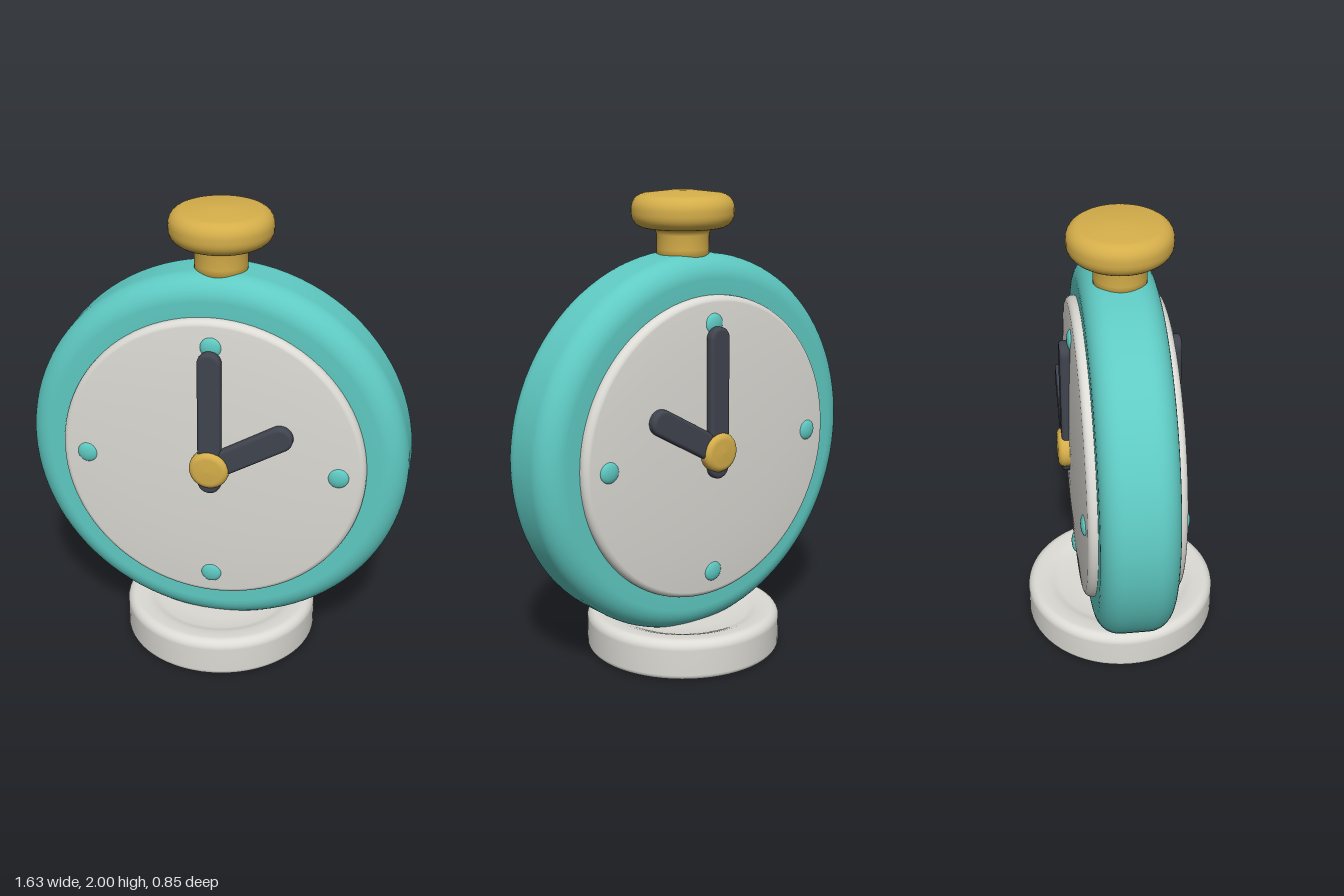
import * as THREE from 'three';

const material = (name, color) => {
  const m = new THREE.MeshStandardMaterial({ color });
  m.name = name;
  return m;
};

// Adds an arc of profile points, angles in degrees
function arc(points, cx, cy, rx, ry, from, to, steps = 8) {
  for (let i = 0; i <= steps; i++) {
    const a = THREE.MathUtils.degToRad(from + ((to - from) * i) / steps);
    points.push([cx + rx * Math.cos(a), cy + ry * Math.sin(a)]);
  }
  return points;
}

function lathe(name, points, mat, segments = 64) {
  const profile = points.map(([r, y]) => new THREE.Vector2(Math.max(r, 0), y));
  const mesh = new THREE.Mesh(new THREE.LatheGeometry(profile, segments), mat);
  mesh.name = name;
  return mesh;
}

// Flat rounded bar running along +y from y0 to y1 (tips included)
function hand(name, halfWidth, y0, y1, mat) {
  const bevel = 0.015, r = halfWidth - bevel;
  const shape = new THREE.Shape();
  shape.absarc(0, y1 - halfWidth, r, 0, Math.PI);
  shape.absarc(0, y0 + halfWidth, r, Math.PI, Math.PI * 2);
  shape.closePath();
  const geometry = new THREE.ExtrudeGeometry(shape, {
    depth: 0.015, bevelEnabled: true, bevelSize: bevel, bevelThickness: bevel,
    bevelSegments: 4, curveSegments: 16,
  });
  const mesh = new THREE.Mesh(geometry, mat);
  mesh.name = name;
  return mesh;
}

export function createModel() {
  const teal = material('teal', 0x5fcac3);
  const white = material('warm white', 0xdcdbd5);
  const dark = material('charcoal', 0x40444e);
  const gold = material('gold', 0xd5ae4a);

  const clock = new THREE.Group();
  clock.name = 'clock';
  const centerY = 0.93;

  // Round foot with a shallow dished top
  const basePoints = [[0, 0], [0.38, 0], [0.4, 0]];
  arc(basePoints, 0.4, 0.025, 0.025, 0.025, -90, 0, 5);
  arc(basePoints, 0.385, 0.135, 0.04, 0.04, 0, 90, 6);
  basePoints.push([0.34, 0.173], [0.31, 0.163], [0.28, 0.152], [0.2, 0.147], [0, 0.145]);
  clock.add(lathe('base', basePoints, white));

  // Thick rounded case
  const casePoints = [[0, -0.16], [0.66, -0.16]];
  arc(casePoints, 0.715, -0.06, 0.1, 0.1, -90, 0, 10);
  arc(casePoints, 0.715, 0.06, 0.1, 0.1, 0, 90, 10);
  casePoints.push([0.66, 0.16], [0, 0.16]);
  const body = lathe('case', casePoints, teal, 96);
  body.rotation.x = Math.PI / 2;
  body.position.y = centerY;
  clock.add(body);

  // Winding knob and stem
  const knobPoints = [[0, 1.7], [0.11, 1.7], [0.11, 1.76], [0.11, 1.82], [0.118, 1.838], [0.14, 1.845]];
  arc(knobPoints, 0.155, 1.905, 0.06, 0.06, -75, 0, 6);
  arc(knobPoints, 0.155, 1.925, 0.06, 0.06, 0, 80, 6);
  knobPoints.push([0.1, 1.992], [0.05, 1.998], [0, 2]);
  clock.add(lathe('knob', knobPoints, gold, 48));

  // The same dial on the front and the back, hour hands both toward +x
  for (const side of [1, -1]) {
    const dial = new THREE.Group();
    dial.name = side > 0 ? 'frontDial' : 'backDial';
    dial.position.y = centerY;
    dial.rotation.y = side > 0 ? 0 : Math.PI;

    const facePoints = [[0.65, 0.14]];
    arc(facePoints, 0.62, 0.17, 0.03, 0.03, 0, 80, 6);
    facePoints.push([0.5, 0.21], [0.35, 0.217], [0.18, 0.222], [0, 0.224]);
    const face = lathe('face', facePoints, white, 96);
    face.rotation.x = Math.PI / 2;
    dial.add(face);

    // Quarter-hour dots
    for (let i = 0; i < 4; i++) {
      const dot = new THREE.Mesh(new THREE.SphereGeometry(0.045, 24, 12), teal);
      dot.name = 'hourDot';
      dot.scale.z = 0.4;
      const a = (i * Math.PI) / 2;
      dot.position.set(0.537 * Math.cos(a), 0.537 * Math.sin(a), 0.203);
      dial.add(dot);
    }

    const minuteHand = hand('minuteHand', 0.05, -0.115, 0.53, dark);
    minuteHand.position.z = 0.224;
    const hourHand = hand('hourHand', 0.055, -0.055, 0.395, dark);
    hourHand.position.z = 0.223;
    hourHand.rotation.z = -side * Math.PI / 3;
    dial.add(minuteHand, hourHand);

    // Centre cap
    const hubPoints = [[0.07, 0.2], [0.083, 0.215], [0.085, 0.235]];
    arc(hubPoints, 0.055, 0.245, 0.03, 0.027, 0, 85, 6);
    hubPoints.push([0, 0.275]);
    const hub = lathe('hub', hubPoints, gold, 40);
    hub.rotation.x = Math.PI / 2;
    dial.add(hub);
    clock.add(dial);
  }
  return clock;
}
